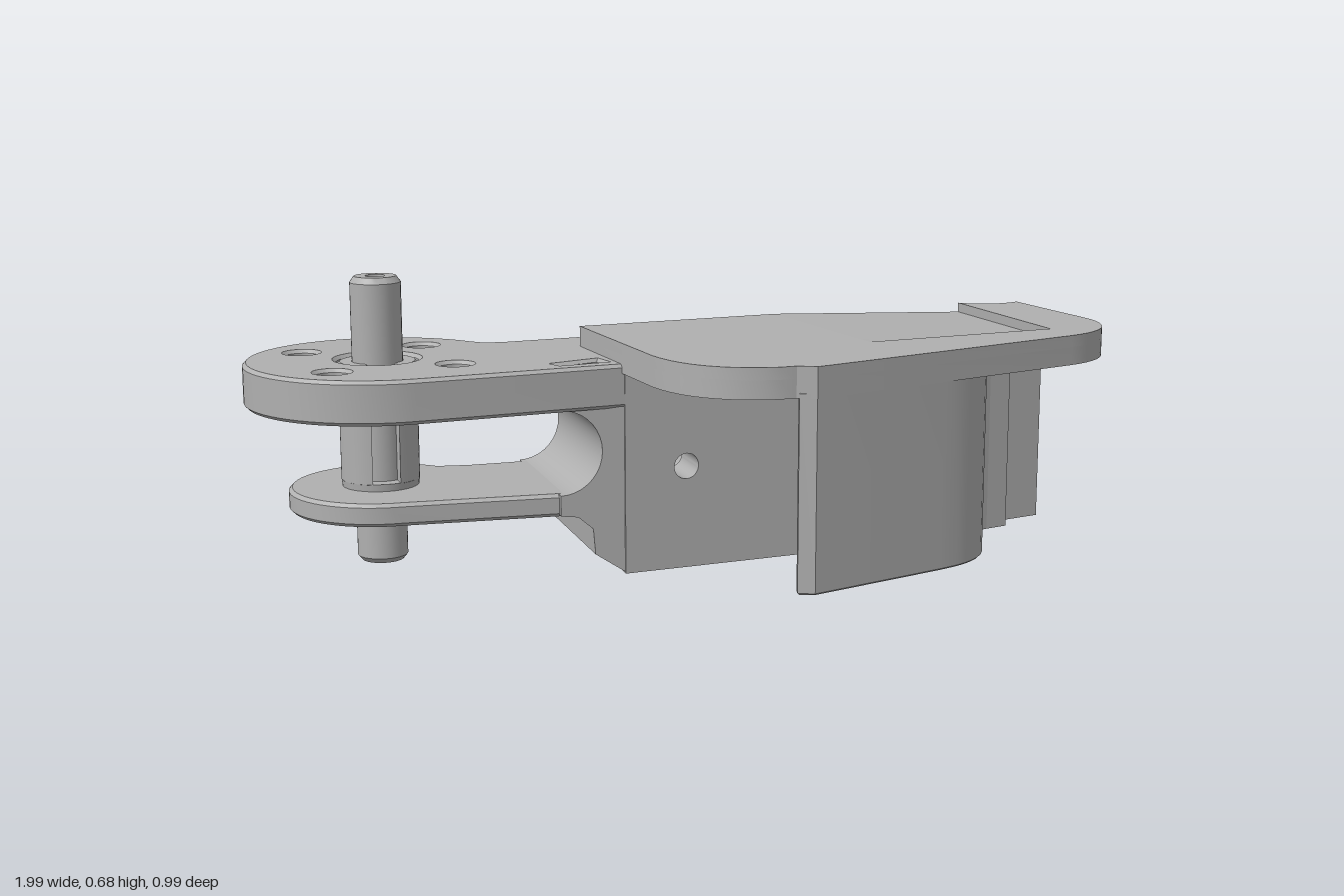
import * as THREE from 'three';
import { toCreasedNormals } from 'three/addons/utils/BufferGeometryUtils.js';

const metal = new THREE.MeshStandardMaterial({ color: 0xb0b0b0 });
metal.name = 'plain grey';

// Points along a circular arc in the ground plane (x, z)
function arc(cx, cz, r, a0, a1, n = 24) {
  return Array.from({ length: n + 1 }, (_, i) => {
    const a = a0 + (a1 - a0) * i / n;
    return [cx + r * Math.cos(a), cz + r * Math.sin(a)];
  });
}

// Points along a quadratic curve
function bend(a, c, b, n = 10) {
  const v = p => new THREE.Vector2(...p);
  return new THREE.QuadraticBezierCurve(v(a), v(c), v(b)).getPoints(n).map(p => [p.x, p.y]);
}

function outline(points, holes = []) {
  const toV = list => list.map(p => new THREE.Vector2(...p));
  const s = new THREE.Shape(toV(points));
  holes.forEach(h => s.holes.push(new THREE.Path(toV(h))));
  return s;
}

const ring = (x, z, r) => arc(x, z, r, 0, Math.PI * 2, 24).slice(0, -1);

// Horizontal slab between two heights, with an optional small chamfer
function slab(points, y0, y1, holes = [], bevel = 0) {
  const g = new THREE.ExtrudeGeometry(outline(points, holes), {
    depth: y1 - y0 - 2 * bevel, bevelEnabled: bevel > 0, bevelThickness: bevel,
    bevelSize: bevel, bevelOffset: -bevel, bevelSegments: 1,
  });
  g.rotateX(Math.PI / 2);
  g.translate(0, y1 - bevel, 0);
  return g;
}

export function createModel() {
  const model = new THREE.Group();
  const add = (name, geometry, parent = model) => {
    const mesh = new THREE.Mesh(toCreasedNormals(geometry, 0.5), metal);
    mesh.name = name;
    parent.add(mesh);
    return mesh;
  };

  const px = -0.695, pz = -0.188; // pivot axis
  const bx = 0.905, bz = -0.38;   // end boss axis

  // Main body: strips with a concave back and a slanted front, two with screw holes
  const body = new THREE.Group();
  body.name = 'body';
  model.add(body);
  const back = x => -0.262 - 0.5 * (x - 0.21) ** 2;
  const front = x => x < 0.64 ? 0.07 - 0.085 * (x + 0.2) : -0.0014 - 0.35 * (x - 0.64);
  const middle = x => back(x) + (front(x) - back(x)) * 0.62;
  const xs = [-0.18, -0.11, 0.05, 0.13, 0.21, 0.29, 0.37, 0.45, 0.54, 0.64, 0.8];
  const holeX = { 1: -0.03, 9: 0.72 };
  for (let i = 0; i < xs.length - 1; i++) {
    const a = xs[i], b = xs[i + 1];
    for (const [near, far, r] of [[back, middle, 0.062], [middle, front, 0.03]]) {
      const holes = i in holeX ? [ring(holeX[i], 0.24, r)] : [];
      const shape = outline([[a, 0], [b, 0], [b, 0.48], [a, 0.48]], holes);
      const g = new THREE.ExtrudeGeometry(shape, { depth: 1, bevelEnabled: false });
      const p = g.attributes.position;
      for (let k = 0; k < p.count; k++) {
        const x = p.getX(k), t = p.getZ(k);
        p.setZ(k, near(x) * (1 - t) + far(x) * t);
      }
      g.computeVertexNormals();
      add('bodySection', g, body);
    }
  }

  // End block, scooped out above the screw boss
  const endFront = [[0.79, -0.054], [0.85, -0.068], [0.86, -0.12], [0.975, -0.145]];
  add('endBlock', slab([...endFront, [0.965, -0.27],
    ...arc(bx, bz, 0.125, 1.07, 2.567, 14), [0.79, -0.31]], 0.2, 0.48), body);
  add('endBoss', slab([...endFront, [0.965, -0.30], ...arc(bx, bz, 0.09, 0.3, -0.9, 8),
    [0.95, -0.46], [0.89, -0.457], [0.79, -0.43]], 0, 0.21, [ring(bx, bz, 0.05)]), body);

  // Lid with a sloping rectangular recess that opens to the back
  const A = [0.3, -0.256], B = [0.813, -0.296], C = [0.83, 0.17], D = [0.35, 0.22];
  const lidRest = [
    ...arc(bx, bz, 0.125, 2.4, 1.07, 14), ...bend([0.985, -0.05], [0.995, 0.03], [0.995, 0.07], 4),
    ...bend([0.993, 0.09], [0.97, 0.23], [0.83, 0.277]), [0.12, 0.49], [0.08, 0.47],
    ...bend([0.04, 0.472], [-0.14, 0.45], [-0.17, 0.25]), [-0.21, -0.21],
  ];
  add('lidBase', slab([A, ...lidRest], 0.466, 0.508));
  add('lidTop', slab([A, D, C, B, ...lidRest], 0.508, 0.535));
  const ramp = slab([A, B, C, D], 0.5, 0.535);
  const rp = ramp.attributes.position;
  for (let k = 0; k < rp.count; k++) {
    if (rp.getX(k) > 0.6 && rp.getY(k) > 0.52) rp.setY(k, 0.512);
  }
  ramp.computeVertexNormals();
  add('lidRecess', ramp);

  // Thin front skirt hanging from the lid and curling back to the body
  const skirtOuter = [[0.085, 0.474], [0.12, 0.489], [0.46, 0.387],
    ...bend([0.48, 0.38], [0.64, 0.33], [0.64, 0.17]), [0.64, -0.02]];
  const skirtInner = [[0.615, -0.02],
    ...bend([0.615, 0.17], [0.615, 0.31], [0.47, 0.357]), [0.12, 0.463], [0.09, 0.455]];
  add('skirt', slab([...skirtOuter, ...skirtInner], 0.037, 0.48, [], 0.004));

  // Upper fork plate with four round holes, a pivot hole and a small slot
  const upper = [...arc(-0.69, -0.19, 0.308, -0.61, -4.8, 48),
    [-0.17, 0.066], [-0.17, -0.352], [-0.36, -0.335], [-0.41, -0.338]];
  const plateHoles = [[-0.85, -0.32], [-0.565, -0.345], [-0.82, -0.035], [-0.54, -0.06]]
    .map(([x, z]) => ring(x, z, 0.038));
  const slot = [[-0.33, 0.01], [-0.22, -0.025], [-0.21, 0.02], [-0.32, 0.035]];
  add('upperForkPlate', slab(upper, 0.387, 0.487,
    [...plateHoles, ring(px, pz, 0.095), slot], 0.008));

  // Smaller lower fork plate
  const lower = [...arc(-0.69, -0.19, 0.215, -0.75, -4.75, 40),
    [-0.2, 0.055], [-0.2, -0.34], [-0.36, -0.325], [-0.46, -0.325]];
  add('lowerForkPlate', slab(lower, 0.14, 0.193, [], 0.008));

  // Rounded web joining both fork plates, chamfered underneath
  const web = outline([...arc(-0.33, 0.29, 0.098, Math.PI / 2, -Math.PI / 2, 18),
    [-0.33, 0.145], [-0.29, 0.14], [-0.255, 0.11], [-0.25, 0.05], [-0.175, 0],
    [-0.17, 0.05], [-0.17, 0.39]]);
  const webGeo = new THREE.ExtrudeGeometry(web, { depth: 0.405, bevelEnabled: false });
  webGeo.translate(0, 0, -0.342);
  add('forkWeb', webGeo);

  // Pivot pin with chamfered ends and centre drillings
  const pinProfile = [[0, 0.035], [0.02, 0.035], [0.022, 0.015], [0.048, 0.015], [0.058, 0.027],
    [0.058, 0.663], [0.048, 0.677], [0.022, 0.677], [0.02, 0.65], [0, 0.65]];
  const pin = add('pivotPin', new THREE.LatheGeometry(
    pinProfile.map(p => new THREE.Vector2(...p)), 32));
  pin.position.set(px, 0, pz);

  // Slotted sleeve around the pin, with a washer below
  const gap = 0.36, mid = Math.PI / 2;
  add('pivotSleeve', slab([...arc(px, pz, 0.09, mid + gap, mid + Math.PI * 2 - gap, 40),
    ...arc(px, pz, 0.055, mid + Math.PI * 2 - gap * 1.6, mid + gap * 1.6, 40)], 0.205, 0.482, [], 0.004));
  const washer = add('washer', new THREE.CylinderGeometry(0.09, 0.08, 0.08, 32));
  washer.position.set(px, 0.17, pz);

  return model;
}
